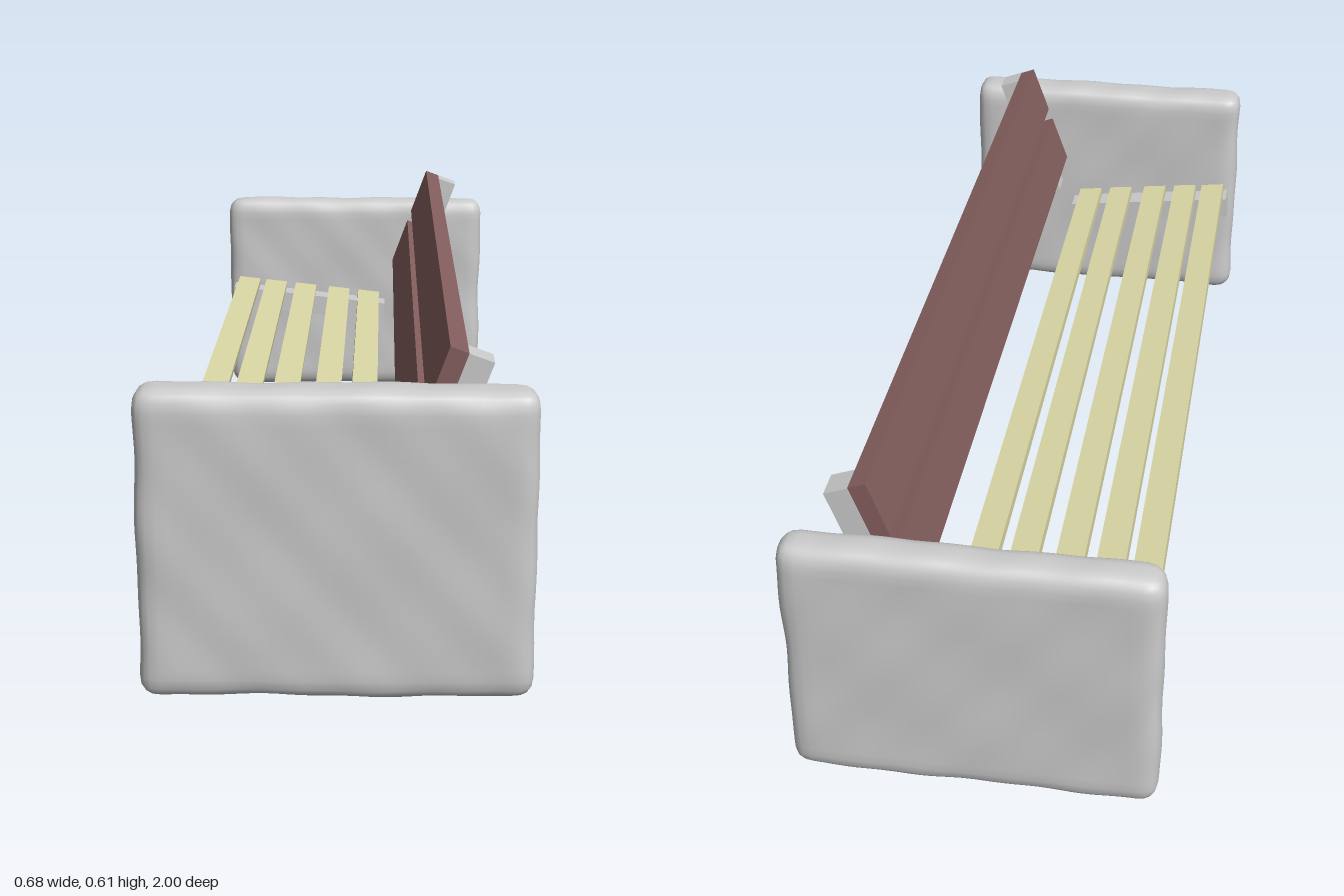
import * as THREE from 'three';
import { mergeVertices } from 'three/addons/utils/BufferGeometryUtils.js';

const mat = (color) => new THREE.MeshStandardMaterial({ color });
const stone = mat(0xcccccc);
const metal = mat(0xcccccc);
const seatWood = mat(0xdad7a5);
const backWood = mat(0x855e5e);

// Box named for its part, placed in its parent
function box(parent, name, size, pos, material) {
  const mesh = new THREE.Mesh(new THREE.BoxGeometry(...size), material);
  mesh.name = name;
  mesh.position.set(...pos);
  parent.add(mesh);
  return mesh;
}

// Rough stone slab: a finely divided box with rounded edges and slight lumps
function stoneSlab(name, w, h, d, phase) {
  const r = 0.036;
  let geo = new THREE.BoxGeometry(w, h, d, 34, 28, 8);
  geo.deleteAttribute('normal');
  geo.deleteAttribute('uv');
  geo = mergeVertices(geo);
  const inner = new THREE.Vector3(w / 2 - r, h / 2 - r, d / 2 - r);
  const low = inner.clone().negate();
  const p = new THREE.Vector3(), core = new THREE.Vector3(), dir = new THREE.Vector3();
  const pos = geo.attributes.position;
  for (let i = 0; i < pos.count; i++) {
    p.fromBufferAttribute(pos, i);
    core.copy(p).clamp(low, inner);
    dir.copy(p).sub(core).normalize();
    const lump = Math.sin(p.x * 17 + phase) * Math.sin(p.y * 21 + phase * 2)
      + 0.5 * Math.sin(p.x * 43 + p.y * 37 + p.z * 30 + phase);
    p.copy(core).addScaledVector(dir, r + 0.0018 * (lump - 1));
    pos.setXYZ(i, p.x, p.y, p.z);
  }
  geo.computeVertexNormals();
  const mesh = new THREE.Mesh(geo, stone);
  mesh.name = name;
  return mesh;
}

export function createModel() {
  const bench = new THREE.Group();
  bench.name = 'bench';

  // Stone end slabs
  const frontSlab = stoneSlab('frontEndSlab', 0.682, 0.555, 0.102, 0.6);
  frontSlab.position.set(0, 0.278, 0.949);
  const rearSlab = stoneSlab('rearEndSlab', 0.68, 0.517, 0.09, 2.3);
  rearSlab.position.set(0, 0.268, -0.955);
  bench.add(frontSlab, rearSlab);

  // Seat: slats on two beams, falling towards the backrest; origin on the beam tops
  const seat = new THREE.Group();
  seat.name = 'seat';
  seat.position.set(-0.125, 0.281, 0);
  seat.rotation.z = -0.11;
  bench.add(seat);
  for (const x of [-0.285, -0.213, -0.133, -0.043, 0.037]) {
    box(seat, 'seatSlat', [0.056, 0.018, 1.8], [x + 0.125, 0.009, 0], seatWood);
  }

  // Backrest: leaning 20 degrees; origin at the top edge where planks meet posts
  const backrest = new THREE.Group();
  backrest.name = 'backrest';
  backrest.position.set(0.222, 0.597, 0);
  backrest.rotation.z = -THREE.MathUtils.degToRad(20);
  bench.add(backrest);
  for (const y of [-0.057, -0.199]) {
    box(backrest, 'backPlank', [0.034, 0.114, 1.8], [-0.017, y, 0], backWood);
  }

  // Beam and post at each end
  for (const side of [1, -1]) {
    box(seat, 'seatBeam', [0.405, 0.05, 0.056], [0.005, -0.025, side * 0.874], metal);
    box(backrest, 'backPost', [0.046, 0.317, 0.056], [0.023, -0.1585, side * 0.874], metal);
  }
  return bench;
}
